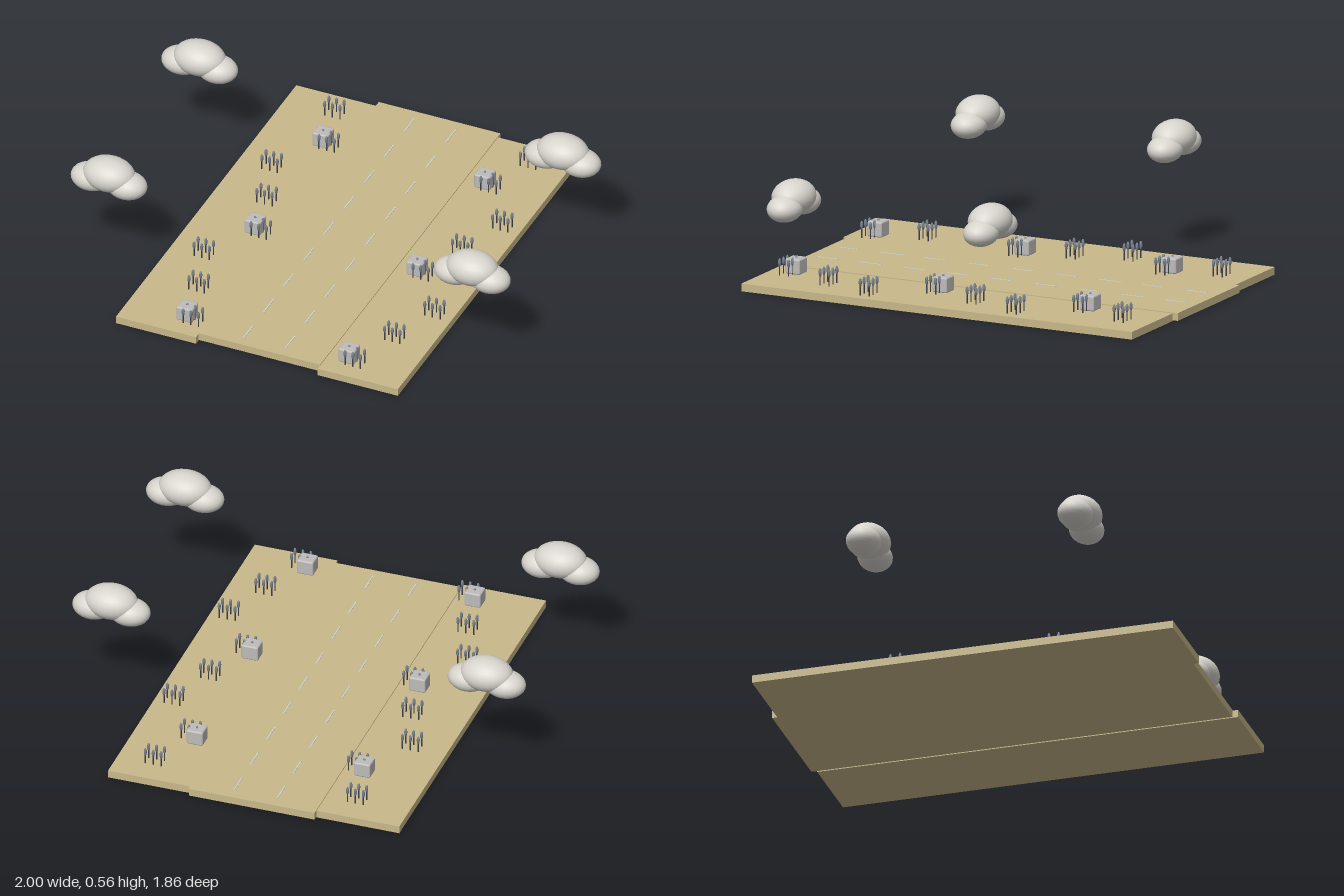
import * as THREE from 'three';
import { RoundedBoxGeometry } from 'three/addons/geometries/RoundedBoxGeometry.js';

const material = (name, color) => {
  const m = new THREE.MeshStandardMaterial({ color });
  m.name = name;
  return m;
};

export function createModel() {
  const sand = material('sand', 0xc8b88a);
  const paleGrey = material('paleGrey', 0xcfcfcf);
  const cloudGrey = material('cloudGrey', 0xd8d5ce);
  const stoneGrey = material('stoneGrey', 0xbdbcba);
  const stemDark = material('stemDark', 0x40424a);
  const budBlue = material('budBlue', 0x75808f);

  const model = new THREE.Group();
  const add = (parent, name, geometry, mat, x, y, z) => {
    const mesh = new THREE.Mesh(geometry, mat);
    mesh.name = name;
    mesh.position.set(x, y, z);
    parent.add(mesh);
    return mesh;
  };

  // Ground: a raised road between two verges, slightly offset lengthwise
  const slabTop = 0.033;
  const roadTop = 0.037;
  add(model, 'road', new THREE.BoxGeometry(0.556, 0.033, 1.837), sand, 0, roadTop - 0.0165, -0.014);
  const vergeGeo = new THREE.BoxGeometry(0.366, slabTop, 1.837);

  // Lane dashes
  const dashGeo = new THREE.BoxGeometry(0.006, 0.002, 0.1);
  for (const x of [-0.093, 0.097]) {
    for (let i = 0; i < 9; i++) {
      add(model, 'laneDash', dashGeo, paleGrey, x, roadTop + 0.001, -0.83 + i * 0.205);
    }
  }

  // Shared geometry for the roadside parts
  const stemGeo = new THREE.CylinderGeometry(0.003, 0.003, 0.045, 6);
  const budGeo = new THREE.SphereGeometry(1, 10, 8).scale(0.0068, 0.0185, 0.0068);
  const blockGeo = new RoundedBoxGeometry(0.073, 0.066, 0.068, 2, 0.007);
  const puffGeo = new THREE.SphereGeometry(1, 24, 16);

  // Two rows of three stalks
  const addStalks = (x0, z0) => {
    const cluster = new THREE.Group();
    cluster.name = 'stalkCluster';
    cluster.position.set(x0, slabTop, z0);
    for (let c = 0; c < 3; c++) {
      for (let r = 0; r < 2; r++) {
        add(cluster, 'stem', stemGeo, stemDark, c * 0.035, 0.0225, r * 0.042);
        add(cluster, 'bud', budGeo, budBlue, c * 0.035, 0.055, r * 0.042);
      }
    }
    model.add(cluster);
  };

  // Cloud of one large puff and two lower ones
  const addCloud = (x, z) => {
    const cloud = new THREE.Group();
    cloud.name = 'cloud';
    cloud.position.set(x, 0, z);
    add(cloud, 'mainPuff', puffGeo, cloudGrey, 0, 0.487, 0).scale.set(0.115, 0.073, 0.088);
    for (const s of [-1, 1]) {
      add(cloud, 'sidePuff', puffGeo, cloudGrey, s * 0.081, 0.452, 0).scale.set(0.089, 0.057, 0.073);
    }
    model.add(cloud);
  };

  for (const side of [-1, 1]) {
    add(model, 'verge', vergeGeo, sand, side * 0.461, slabTop / 2, 0.011);
    for (let i = 0; i < 8; i++) {
      const x = side * [0.447, 0.37, 0.527][i % 3];
      const z = -0.8 + i * 0.2305;
      addStalks(x, z);
      // Every third cluster grows through a stone block
      if (i % 3 === 1) add(model, 'stoneBlock', blockGeo, stoneGrey, x, slabTop + 0.033, z);
    }
    for (const z of [-0.338, 0.585]) addCloud(side * 0.83, z);
  }

  return model;
}
